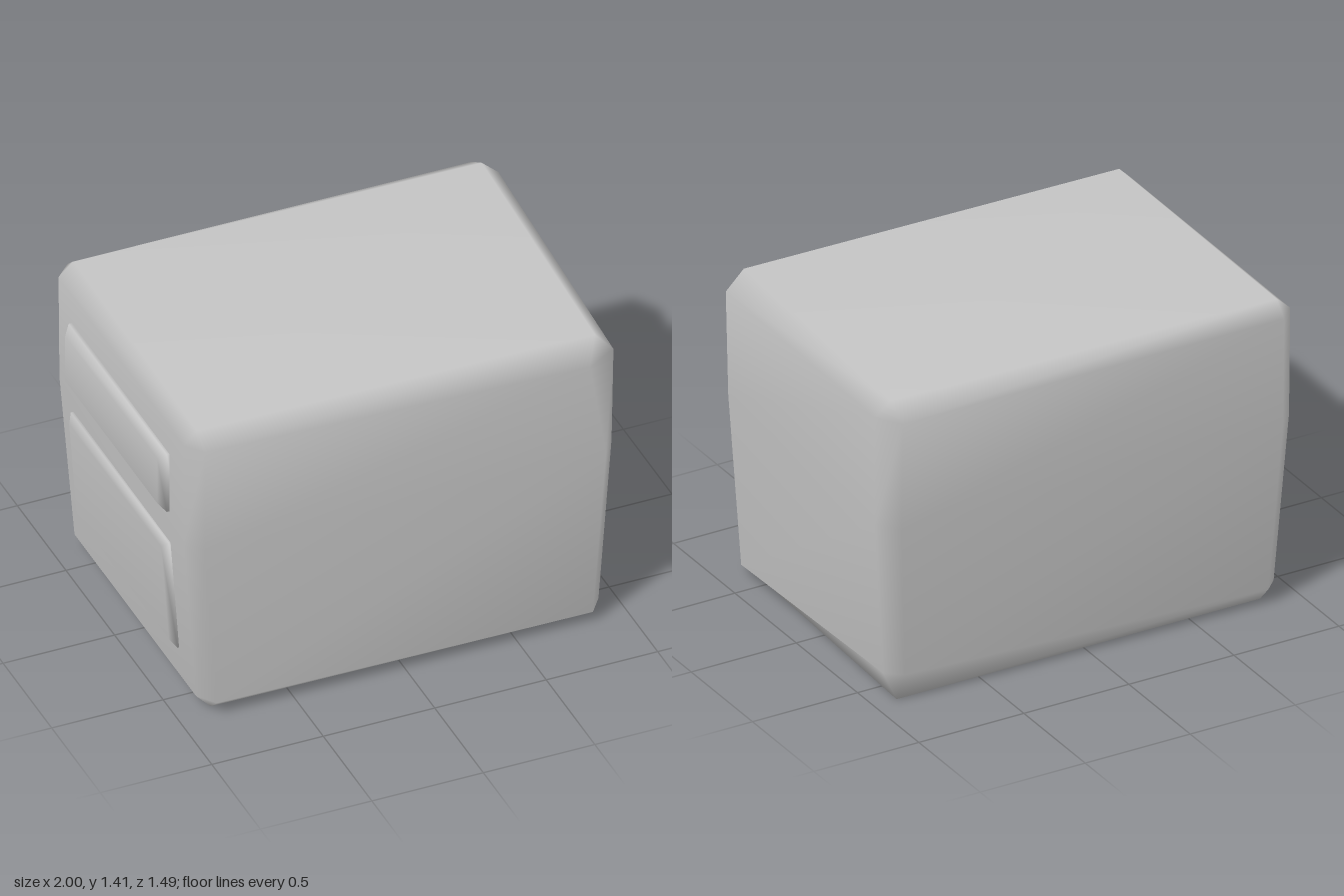
import * as THREE from 'three';
import { mergeVertices } from 'three/addons/utils/BufferGeometryUtils.js';

// Closed skin through rings of equal point count; large faces dominate the smooth normals
function loft(rings) {
  const n = rings[0].length;
  const index = [];
  for (let r = 0; r < rings.length - 1; r++) {
    for (let i = 0; i < n; i++) {
      const a = r * n + i, b = r * n + (i + 1) % n;
      index.push(a, b, b + n, a, b + n, a + n);
    }
  }
  const last = (rings.length - 1) * n;
  for (let i = 1; i < n - 1; i++) {
    index.push(0, i + 1, i);
    index.push(last, last + i, last + i + 1);
  }
  let geometry = new THREE.BufferGeometry();
  geometry.setAttribute('position', new THREE.Float32BufferAttribute(rings.flat(2), 3));
  geometry.setIndex(index);
  geometry = mergeVertices(geometry, 1e-4);
  geometry.computeVertexNormals();
  return geometry;
}

// Ring with cut corners: each corner is [x, z, y, cutX, cutZ]
// in the order front -x, front +x, back +x, back -x
function cutRing(corners) {
  return corners.flatMap(([x, z, y, cx = 0, cz = 0], i) => {
    const side = [x, y, z - Math.sign(z) * cz];
    const face = [x - Math.sign(x) * cx, y, z];
    return i % 2 ? [face, side] : [side, face];
  });
}

// The side wall is upright above the waist and leans inward below it
const wallX = (y) => -0.955 + Math.max(0, 0.85 - y) * 0.072;

// Bevelled drawer front that follows the side wall
function drawerFront(y0, y1, z0, z1, depth) {
  const ring = (out, inset) =>
    [[y0 + inset, z0 + inset], [y0 + inset, z1 - inset], [y1 - inset, z1 - inset], [y1 - inset, z0 + inset]]
      .map(([y, z]) => [wallX(y) - out, y, z]);
  return loft([ring(-0.03, 0), ring(depth * 0.35, 0), ring(depth, 0.032)]);
}

export function createModel() {
  const group = new THREE.Group();
  const grey = new THREE.MeshStandardMaterial({ color: 0xc4c4c4 });
  grey.name = 'plain grey';

  const add = (name, geometry) => {
    const mesh = new THREE.Mesh(geometry, grey);
    mesh.name = name;
    group.add(mesh);
  };

  // Slightly crooked cabinet block: base, lower bevel, waist, upper bevel, top
  add('cabinetBody', loft([
    cutRing([[-0.84, 0.62, 0], [0.84, 0.63, 0], [0.89, -0.63, 0], [-0.84, -0.63, 0]]),
    cutRing([
      [-0.905, 0.70, 0.07, 0.06, 0.08], [0.90, 0.70, 0.05, 0.06, 0.08],
      [0.955, -0.69, 0.14, 0.07, 0.06], [-0.905, -0.69, 0.07, 0.06, 0.06],
    ]),
    cutRing([
      [-0.96, 0.70, 0.85, 0.06, 0.08], [0.95, 0.72, 0.85, 0.06, 0.08],
      [1.0, -0.74, 0.85, 0.07, 0.1], [-0.955, -0.74, 0.85, 0.07, 0.07],
    ]),
    cutRing([
      [-0.96, 0.70, 1.35, 0.06, 0.08], [0.95, 0.74, 1.32, 0.14, 0.08],
      [1.0, -0.75, 1.35, 0.07, 0.11], [-0.955, -0.75, 1.35, 0.07, 0.07],
    ]),
    cutRing([[-0.9, 0.62, 1.41], [0.87, 0.65, 1.41], [0.93, -0.65, 1.41], [-0.89, -0.68, 1.41]]),
  ]));

  // Two drawer fronts on the -x side
  add('upperDrawer', drawerFront(0.92, 1.21, -0.54, 0.47, 0.045));
  add('lowerDrawer', drawerFront(0.22, 0.76, -0.54, 0.47, 0.036));

  return group;
}
